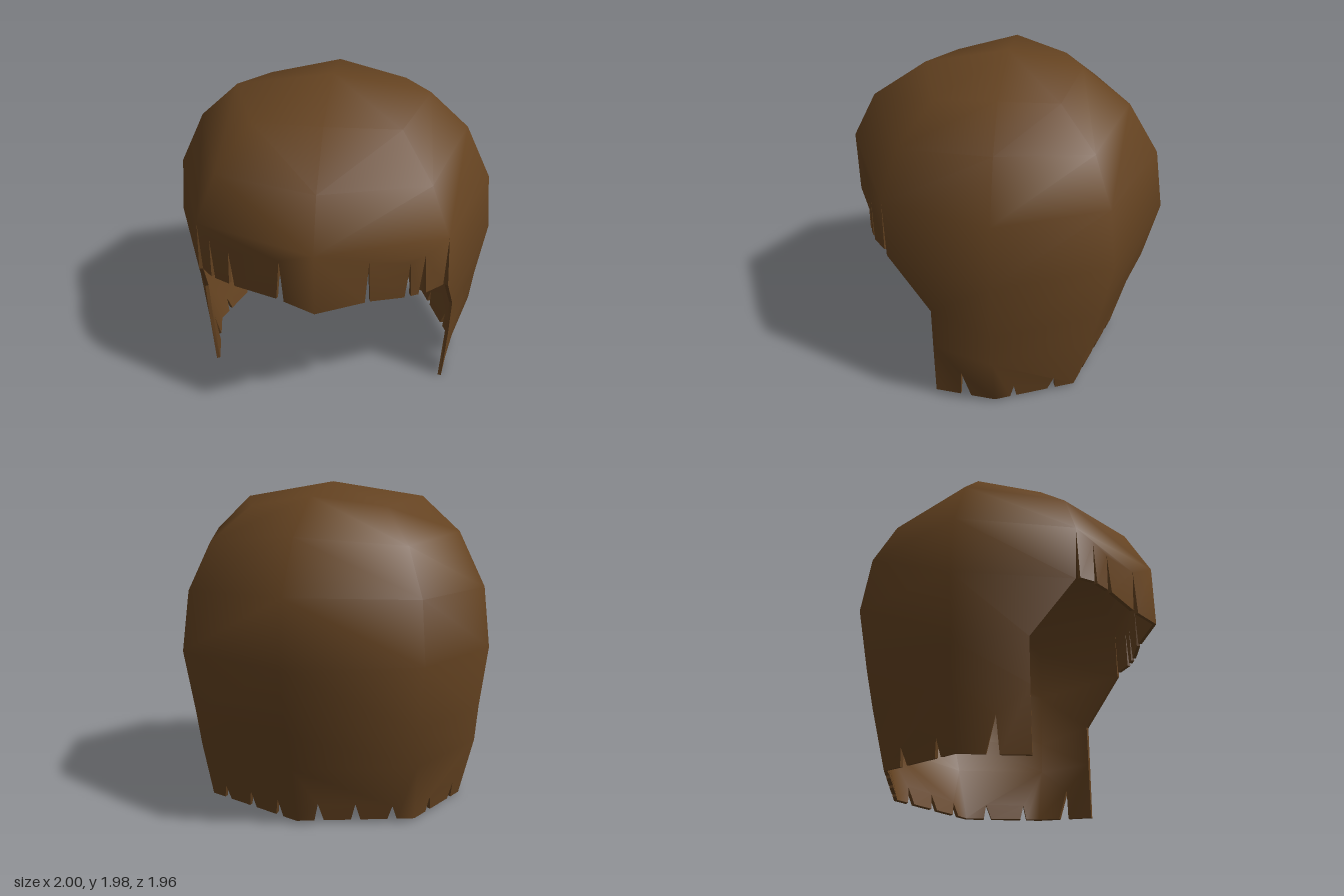
import * as THREE from 'three';
import { mergeVertices } from 'three/addons/utils/BufferGeometryUtils.js';

const THICKNESS = 0.022;

// Half of the hair: columns of points from crown to hem (+x side)
const crown = [0, 1.98, 0];
const front = [crown, [0, 1.89, 0.5], [0, 1.67, 0.83], [0, 1.39, 0.98]];
const temple = [crown, [0.42, 1.83, 0.37], [0.6, 1.6, 0.56], [0.71, 1.32, 0.64],
  [0.73, 0.98, 0.63], [0.79, 0.64, 0.38], [0.785, 0.37, 0.38], [0.77, 0, 0.38]];
const side = [crown, [0.57, 1.89, 0], [0.8, 1.68, 0], [0.96, 1.35, 0],
  [1, 0.98, 0], [0.95, 0.6, 0], [0.93, 0.38, 0], [0.84, 0.02, 0]];
const backDiagonal = [crown, [0.42, 1.83, -0.33], [0.6, 1.62, -0.53], [0.7, 1.34, -0.63],
  [0.73, 0.98, -0.67], [0.69, 0.6, -0.61], [0.68, 0.37, -0.56], [0.65, 0.02, -0.48]];
const back = [crown, [0, 1.89, -0.44], [0, 1.67, -0.73], [0, 1.36, -0.92],
  [0, 0.98, -0.98], [0, 0.6, -0.89], [0, 0.37, -0.81], [0, 0.02, -0.72]];

// Four-cornered panel whose lower edge may carry notches [left, tip, right, height]
function addPanel(out, s, [a, b, c, d], notches = [], shape = (p) => p) {
  const contour = [new THREE.Vector2(0, 0)];
  for (const [l, t, r, h] of notches) {
    contour.push(new THREE.Vector2(l, 0), new THREE.Vector2(t, h), new THREE.Vector2(r, 0));
  }
  contour.push(new THREE.Vector2(1, 0), new THREE.Vector2(1, 1), new THREE.Vector2(0, 1));
  const points = contour.map(({ x: u, y: v }) => {
    const p = [0, 1, 2].map((i) =>
      (d[i] * (1 - u) + c[i] * u) * (1 - v) + (a[i] * (1 - u) + b[i] * u) * v);
    const q = shape(p);
    return [q[0] * s, q[1], q[2]];
  });
  for (const [i, j, k] of THREE.ShapeUtils.triangulateShape(contour, [])) {
    const [p, q, r] = [contour[i], contour[j], contour[k]];
    const area = (q.x - p.x) * (r.y - p.y) - (q.y - p.y) * (r.x - p.x);
    const order = area * s > 0 ? [i, j, k] : [i, k, j];
    for (const n of order) out.push(...points[n]);
  }
}

// Rows of panels between two neighbouring columns, notched at the hem
function addStrip(out, s, left, right, notches) {
  const last = Math.min(left.length, right.length) - 1;
  for (let i = 0; i < last; i++) {
    addPanel(out, s, [left[i], right[i], right[i + 1], left[i + 1]],
      i === last - 1 ? notches : []);
  }
}

const tuft = (t, w, h) => [t - w, t, t + w, h];

function buildShell() {
  const out = [];
  for (const s of [1, -1]) {
    addStrip(out, s, front, temple, []);
    addStrip(out, s, temple, side, [[0.42, 0.45, 0.6, 0.55]]);
    addStrip(out, s, side, backDiagonal, [tuft(0.23, 0.04, 0.28), tuft(0.71, 0.05, 0.28)]);
    addStrip(out, s, backDiagonal, back,
      [tuft(0.19, 0.04, 0.25), tuft(0.5, 0.04, 0.3), tuft(0.81, 0.04, 0.32)]);

    // Fringe, slightly fuller towards the corners
    const fringeNotches = s > 0
      ? [[0.38, 0.4, 0.42, 0.75], tuft(0.715, 0.025, 0.68), [0.8, 0.825, 0.86, 0.78]]
      : [[0.26, 0.285, 0.325, 0.74], tuft(0.715, 0.025, 0.68), [0.87, 0.88, 0.905, 0.81]];
    addPanel(out, s, [front[3], temple[3], [0.7, 1, 0.65], [0, 1, 0.98]], fringeNotches,
      ([x, y, z]) => [x, y, x > 0.4 && x < 0.64 ? z + 0.035 : z]);
  }
  const g = new THREE.BufferGeometry();
  g.setAttribute('position', new THREE.Float32BufferAttribute(out, 3));
  const merged = mergeVertices(g, 1e-3);
  // Drop collapsed triangles at the crown
  const idx = merged.index.array, keep = [];
  for (let i = 0; i < idx.length; i += 3) {
    const [a, b, c] = [idx[i], idx[i + 1], idx[i + 2]];
    if (a !== b && b !== c && c !== a) keep.push(a, b, c);
  }
  merged.setIndex(keep);
  merged.computeVertexNormals();
  return merged;
}

// Inner copy of the shell, pushed inwards and turned inside out
function buildLining(shell) {
  const g = shell.clone();
  const p = g.attributes.position, n = shell.attributes.normal;
  for (let i = 0; i < p.count; i++) {
    p.setXYZ(i, p.getX(i) - n.getX(i) * THICKNESS, p.getY(i) - n.getY(i) * THICKNESS,
      p.getZ(i) - n.getZ(i) * THICKNESS);
  }
  g.setIndex(Array.from(shell.index.array).reverse());
  g.computeVertexNormals();
  return g;
}

// Narrow walls joining shell and lining along every open edge
function buildRim(shell, lining) {
  const idx = shell.index.array, edges = new Map();
  for (let i = 0; i < idx.length; i += 3) {
    for (let e = 0; e < 3; e++) {
      const a = idx[i + e], b = idx[i + (e + 1) % 3];
      edges.set(a + '_' + b, [a, b]);
    }
  }
  const out = [];
  const push = (g, i) => {
    const p = g.attributes.position;
    out.push(p.getX(i), p.getY(i), p.getZ(i));
  };
  for (const [a, b] of edges.values()) {
    if (edges.has(b + '_' + a)) continue;
    push(shell, b); push(shell, a); push(lining, a);
    push(shell, b); push(lining, a); push(lining, b);
  }
  const g = new THREE.BufferGeometry();
  g.setAttribute('position', new THREE.Float32BufferAttribute(out, 3));
  g.computeVertexNormals();
  return g;
}

export function createModel() {
  const group = new THREE.Group();
  group.name = 'hair';
  const material = new THREE.MeshStandardMaterial({ color: 0x654321, side: THREE.DoubleSide });
  const shell = buildShell();
  const lining = buildLining(shell);
  const parts = { hairShell: shell, hairLining: lining, hairRim: buildRim(shell, lining) };
  for (const [name, geometry] of Object.entries(parts)) {
    const mesh = new THREE.Mesh(geometry, material);
    mesh.name = name;
    group.add(mesh);
  }
  return group;
}
